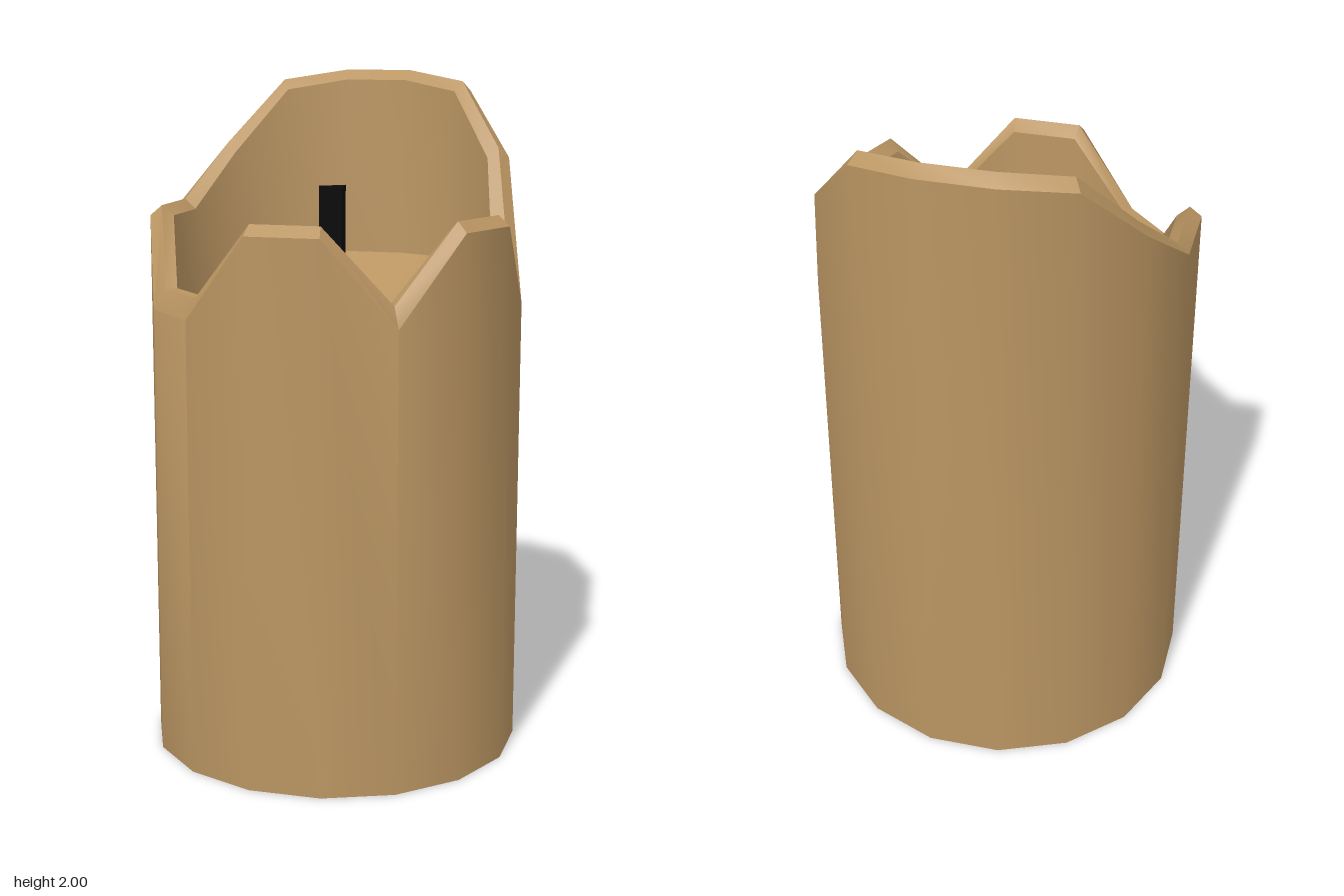
import * as THREE from 'three';
import { toCreasedNormals } from 'three/addons/utils/BufferGeometryUtils.js';

const SIDES = 16;
const NOTCH = 1.4;
// Height of the rim's ridge at each corner, from the left side (+x) round past the front
const RIDGE = [1.62, NOTCH, 1.62, 1.62, NOTCH, NOTCH, 1.62, 1.62,
  1.78, 1.97, 2, 2, 1.97, 1.78, NOTCH, 1.62];

// One ring of corners; height is a function of corner number and z
function ring(radius, height) {
  return RIDGE.map((_, k) => {
    const a = ((k + 0.5) * Math.PI * 2) / SIDES;
    const z = radius * Math.sin(a);
    return new THREE.Vector3(radius * Math.cos(a), height(k, z), z);
  });
}

// Closed skin through successive rings, with sharp edges kept
function skin(rings) {
  const points = [];
  const face = (a, b, c) => {
    if (a.distanceTo(b) > 1e-5 && b.distanceTo(c) > 1e-5 && c.distanceTo(a) > 1e-5) points.push(a, b, c);
  };
  for (let r = 0; r < rings.length - 1; r++) {
    for (let k = 0; k < SIDES; k++) {
      const n = (k + 1) % SIDES;
      const low = rings[r], high = rings[r + 1];
      face(low[k], high[k], high[n]);
      face(low[k], high[n], low[n]);
    }
  }
  return toCreasedNormals(new THREE.BufferGeometry().setFromPoints(points), 0.55);
}

export function createModel() {
  const group = new THREE.Group();
  group.name = 'candle';

  const wax = new THREE.MeshStandardMaterial({ color: 0xba9562 });
  wax.name = 'tan wax';
  const black = new THREE.MeshStandardMaterial({ color: 0x0c0c0c });
  black.name = 'black wick';

  // Wax body: base, outer wall, bevelled broken rim, inner wall and sloping floor
  const floor = (k, z) => Math.min(1.43, 1.25 - 0.55 * z);
  const body = new THREE.Mesh(skin([
    ring(0, () => 0),
    ring(0.55, () => 0),
    ring(0.55, (k) => RIDGE[k] - (RIDGE[k] === NOTCH ? 0.06 : 0.03)),
    ring(0.515, (k) => RIDGE[k]),
    ring(0.48, (k) => RIDGE[k] - (RIDGE[k] === NOTCH ? 0 : 0.03)),
    ring(0.465, floor),
    ring(0, floor),
  ]), wax);
  body.name = 'waxBody';
  group.add(body);

  // Three-sided wick, one corner towards the back
  const wickGeometry = new THREE.CylinderGeometry(0.049, 0.049, 0.5, 3);
  wickGeometry.rotateY(Math.PI);
  const wick = new THREE.Mesh(toCreasedNormals(wickGeometry, 0.5), black);
  wick.name = 'wick';
  wick.position.y = 1.43;
  group.add(wick);

  return group;
}
